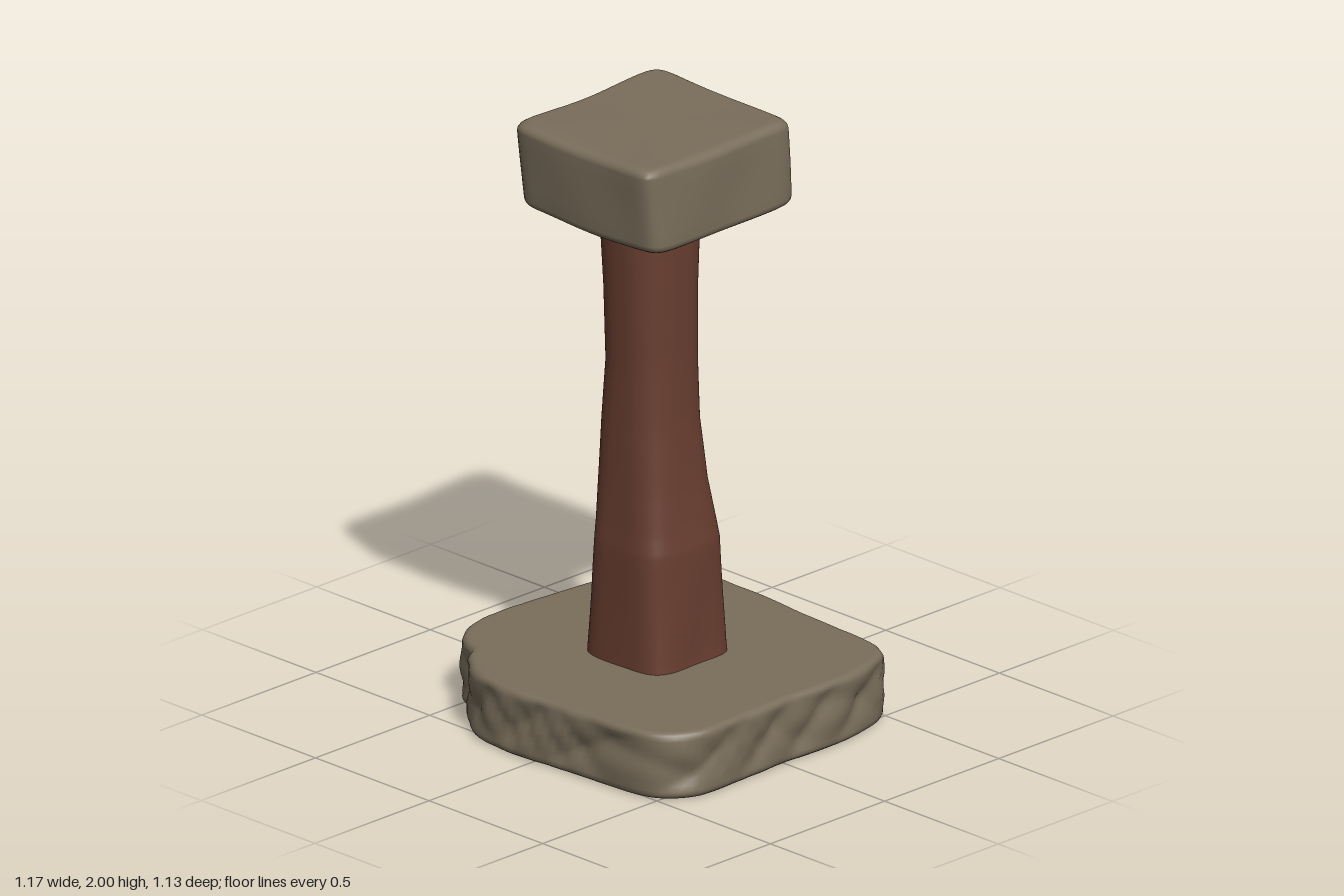
import * as THREE from 'three';

const N = 144; // points around every cross-section

// Skin a stack of closed rings (bottom to top) and cap both ends
function loft(rings) {
  const pos = [], idx = [];
  rings.forEach(r => r.forEach(p => pos.push(...p)));
  for (let k = 0; k < rings.length - 1; k++) {
    for (let i = 0; i < N; i++) {
      const a = k * N + i, b = k * N + (i + 1) % N, c = a + N, d = b + N;
      idx.push(a, c, b, b, c, d);
    }
  }
  [0, rings.length - 1].forEach((k, top) => {
    const c = pos.length / 3, mid = [0, 0, 0];
    rings[k].forEach(p => p.forEach((v, j) => { mid[j] += v / N; }));
    pos.push(...mid);
    for (let i = 0; i < N; i++) {
      const a = k * N + i, b = k * N + (i + 1) % N;
      if (top) idx.push(c, b, a); else idx.push(c, a, b);
    }
  });
  const g = new THREE.BufferGeometry();
  g.setAttribute('position', new THREE.Float32BufferAttribute(pos, 3));
  g.setIndex(idx);
  g.computeVertexNormals();
  return g;
}

const ring = f => Array.from({ length: N }, (_, i) => f(i / N * Math.PI * 2, i));

// Rounded square in the range -1..1; a higher n gives sharper corners
function squircle(t, n) {
  const c = Math.cos(t), s = Math.sin(t);
  const r = Math.pow(Math.abs(c) ** n + Math.abs(s) ** n, -1 / n);
  return [c * r, s * r];
}

// [height, inset] steps of a slab with rounded rims
function slabSteps(y0, y1, bevel, sides) {
  const out = [[y0, bevel * 2.2], [y0, bevel * 1.4]];
  for (let i = 0; i <= 4; i++) {
    const a = i / 4 * Math.PI / 2;
    out.push([y0 + bevel * (1 - Math.cos(a)), bevel * (1 - Math.sin(a))]);
  }
  for (let i = 1; i < sides; i++) out.push([y0 + bevel + (y1 - y0 - 2 * bevel) * i / sides, 0]);
  for (let i = 4; i >= 0; i--) {
    const a = i / 4 * Math.PI / 2;
    out.push([y1 - bevel * (1 - Math.cos(a)), bevel * (1 - Math.sin(a))]);
  }
  out.push([y1, bevel * 1.4], [y1, bevel * 2.2]);
  return out;
}

// Irregular plinth outline, x and z
const OUTLINE = [
  [-0.39, -0.56], [-0.14, -0.57], [0.21, -0.545], [0.46, -0.52], [0.52, -0.48], [0.56, -0.36],
  [0.58, -0.24], [0.575, 0], [0.585, 0.29], [0.575, 0.4], [0.49, 0.505], [0.2, 0.54],
  [-0.16, 0.56], [-0.28, 0.53], [-0.39, 0.45], [-0.42, 0.4], [-0.52, 0.35], [-0.575, 0.25],
  [-0.59, 0.14], [-0.58, -0.08], [-0.55, -0.36], [-0.54, -0.46], [-0.455, -0.52],
];

function plinthGeometry() {
  const curve = new THREE.CatmullRomCurve3(OUTLINE.map(p => new THREE.Vector3(p[0], 0, p[1])), true);
  const pts = curve.getSpacedPoints(N);
  return loft(slabSteps(0.01, 0.22, 0.025, 10).map(([y, inset]) => ring((t, i) => {
    const p = pts[i];
    // chipped stone: overlapping slanted dents, strongest at mid-height
    const w = Math.sin(Math.PI * y / 0.23);
    const chip = Math.abs(Math.sin(7 * t + 16 * y + Math.sin(3 * t))) * 0.6
      + Math.abs(Math.sin(12 * t - 22 * y + 2 * Math.sin(5 * t))) * 0.4;
    const k = 1 - (inset + 0.03 * w * (1 - chip)) / p.length();
    return [p.x * k, y, p.z * k];
  })));
}

// Column sections: y, min x, max x, min z, max z, corner sharpness
const SECTIONS = [
  [0.18, -0.19, 0.178, -0.188, 0.182, 4.4], [0.25, -0.185, 0.173, -0.182, 0.18, 4.4],
  [0.42, -0.168, 0.168, -0.173, 0.177, 4.2], [0.6, -0.155, 0.165, -0.166, 0.175, 4],
  [0.67, -0.158, 0.155, -0.16, 0.168, 3.6], [0.8, -0.16, 0.14, -0.14, 0.16, 3.2],
  [1.0, -0.154, 0.125, -0.123, 0.154, 2.8], [1.2, -0.14, 0.12, -0.12, 0.15, 2.6],
  [1.45, -0.147, 0.122, -0.123, 0.157, 2.5], [1.62, -0.157, 0.124, -0.132, 0.163, 2.5],
  [1.75, -0.16, 0.125, -0.142, 0.167, 2.5],
];

function columnGeometry() {
  const rings = [];
  for (let k = 0; k < SECTIONS.length - 1; k++) {
    const last = k === SECTIONS.length - 2;
    for (let s = 0; s < (last ? 5 : 4); s++) {
      const [y, x0, x1, z0, z1, n] = SECTIONS[k].map((v, j) => THREE.MathUtils.lerp(v, SECTIONS[k + 1][j], s / 4));
      rings.push(ring(t => {
        const [u, v] = squircle(t, n);
        // faint carved unevenness, fading upward
        const m = 1 - 0.012 * Math.max(0, 1.2 - y) * (1 + Math.sin(5 * t + 9 * y));
        return [(x0 + x1) / 2 + (x1 - x0) / 2 * u * m, y, (z0 + z1) / 2 + (z1 - z0) / 2 * v * m];
      }));
    }
  }
  return loft(rings);
}

function capitalGeometry() {
  const y0 = 1.71, y1 = 1.992;
  return loft(slabSteps(y0, y1, 0.028, 5).map(([y, inset]) => ring(t => {
    const [u, v] = squircle(t, 13);
    const h = (y - y0) / (y1 - y0);
    // slightly skewed block, leaning toward -x with height
    const left = THREE.MathUtils.lerp(-0.3, -0.318, h) + 0.012 * v;
    const right = THREE.MathUtils.lerp(0.307, 0.298, h) + 0.006 * v;
    const back = -0.32 + 0.004 * u;
    const front = THREE.MathUtils.lerp(0.325, 0.342, h) - 0.004 * u;
    const k = 1 - inset / 0.31;
    const x = (left + right) / 2 + (right - left) / 2 * u * k;
    const z = (back + front) / 2 + (front - back) / 2 * v * k;
    const wave = 0.005 * Math.sin(9 * x + 1) * Math.cos(8 * z);
    return [x + 0.003 * Math.sin(14 * z + 10 * y), y + wave - 0.008 * x, z + 0.003 * Math.sin(13 * x + 8 * y)];
  })));
}

export function createModel() {
  const stone = new THREE.MeshStandardMaterial({ color: 0x7a6e5b });
  stone.name = 'stone';
  const wood = new THREE.MeshStandardMaterial({ color: 0x693e30 });
  wood.name = 'reddish wood';

  const group = new THREE.Group();
  group.name = 'pedestal';
  const add = (name, geometry, material) => {
    const mesh = new THREE.Mesh(geometry, material);
    mesh.name = name;
    group.add(mesh);
  };
  const plinth = plinthGeometry();
  plinth.translate(0, -0.01, 0);
  plinth.scale(1, 1.05, 1);
  add('plinth', plinth, stone);
  add('column', columnGeometry(), wood);
  add('capital', capitalGeometry(), stone);
  return group;
}
